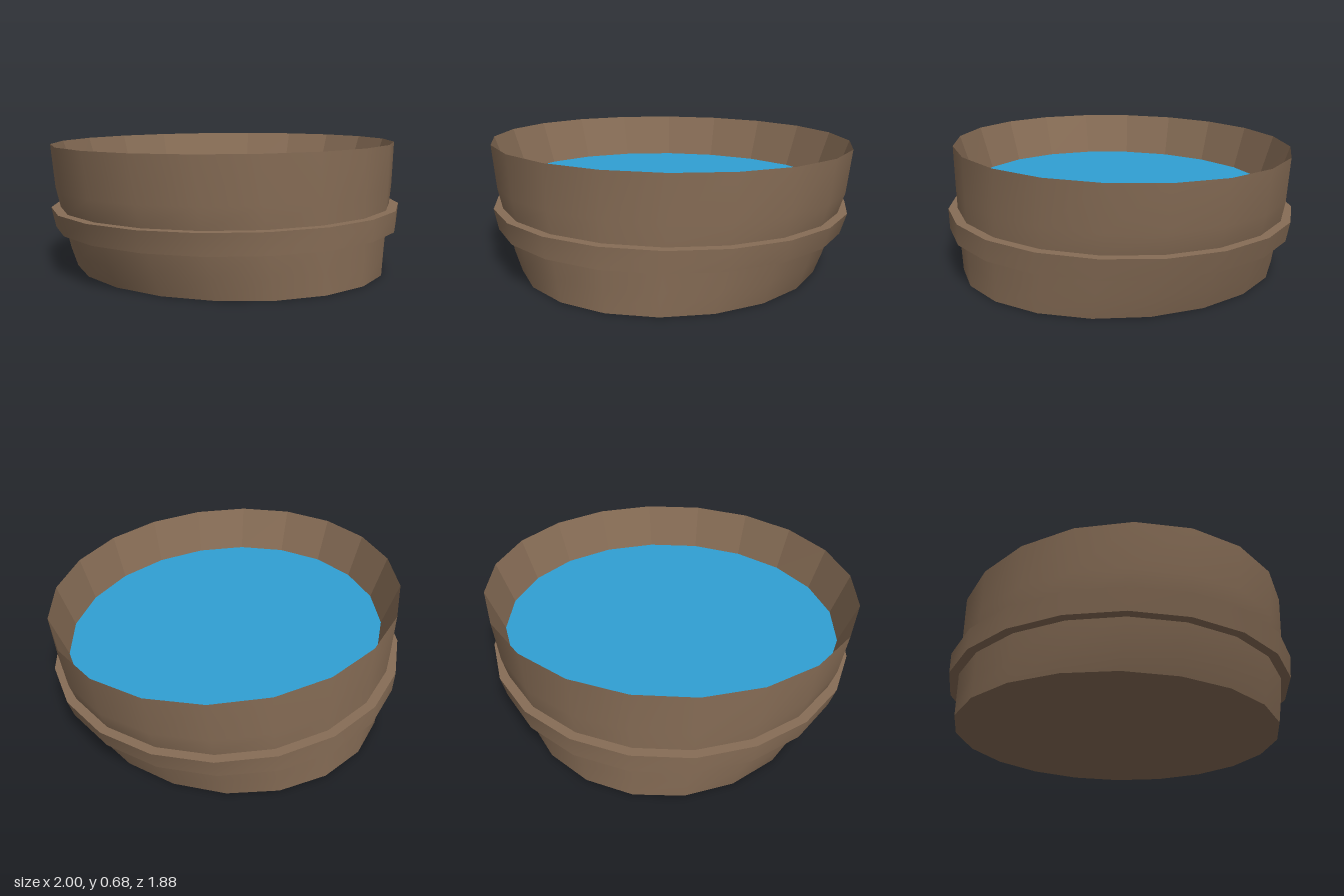
import * as THREE from 'three';

const SIDES = 20;

// Skin through elliptical rings [y, radiusX, radiusZ, centreX]; rising rings face outward
function loft(rings, flat = false) {
  const pos = [], index = [];
  for (const [y, rx, rz, cx = 0] of rings) {
    for (let j = 0; j < SIDES; j++) {
      const a = (j / SIDES) * Math.PI * 2;
      pos.push(cx + rx * Math.cos(a), y, rz * Math.sin(a));
    }
  }
  for (let i = 0; i < rings.length - 1; i++) {
    for (let j = 0; j < SIDES; j++) {
      const k = (j + 1) % SIDES;
      const a = i * SIDES + j, b = i * SIDES + k;
      const c = a + SIDES, d = b + SIDES;
      index.push(a, c, b, b, c, d);
    }
  }
  let g = new THREE.BufferGeometry();
  g.setAttribute('position', new THREE.Float32BufferAttribute(pos, 3));
  g.setIndex(index);
  if (flat) g = g.toNonIndexed();
  g.computeVertexNormals();
  return g;
}

export function createModel() {
  const wood = new THREE.MeshStandardMaterial({ color: 0x876d56 });
  wood.name = 'brownWood';
  const blue = new THREE.MeshStandardMaterial({ color: 0x30a0d3 });
  blue.name = 'waterBlue';

  const group = new THREE.Group();
  group.name = 'waterTub';
  const add = (name, geometry, material) => {
    const mesh = new THREE.Mesh(geometry, material);
    mesh.name = name;
    group.add(mesh);
  };

  // Outer wall flares sideways only; its depth stays constant
  add('outerWall', loft([
    [0, 0.82, 0.89, 0.01],
    [0.11, 0.865, 0.89, 0.005],
    [0.23, 0.903, 0.89, 0.003],
    [0.34, 0.937, 0.89, 0.003],
    [0.45, 0.972, 0.89, 0.002],
    [0.68, 1, 0.89],
  ]), wood);

  // Faceted inner wall, from the sharp rim down to the water
  add('innerWall', loft([[0.68, 1, 0.89], [0.44, 0.917, 0.818]], true), wood);

  // Flat underside
  add('floor', loft([[0, 0, 0, 0.01], [0, 0.82, 0.89, 0.01]], true), wood);

  // Hoop around the middle: sides, then top and bottom ledges
  const low = [0.23, 0.953, 0.94, 0.003], high = [0.34, 0.986, 0.94, 0.003];
  add('hoopSide', loft([low, high]), wood);
  add('hoopTop', loft([high, [0.34, 0.93, 0.88, 0.003]], true), wood);
  add('hoopBottom', loft([[0.23, 0.9, 0.88, 0.003], low], true), wood);

  // Water surface
  add('water', loft([[0.44, 0.917, 0.818], [0.44, 0, 0]], true), blue);

  return group;
}
